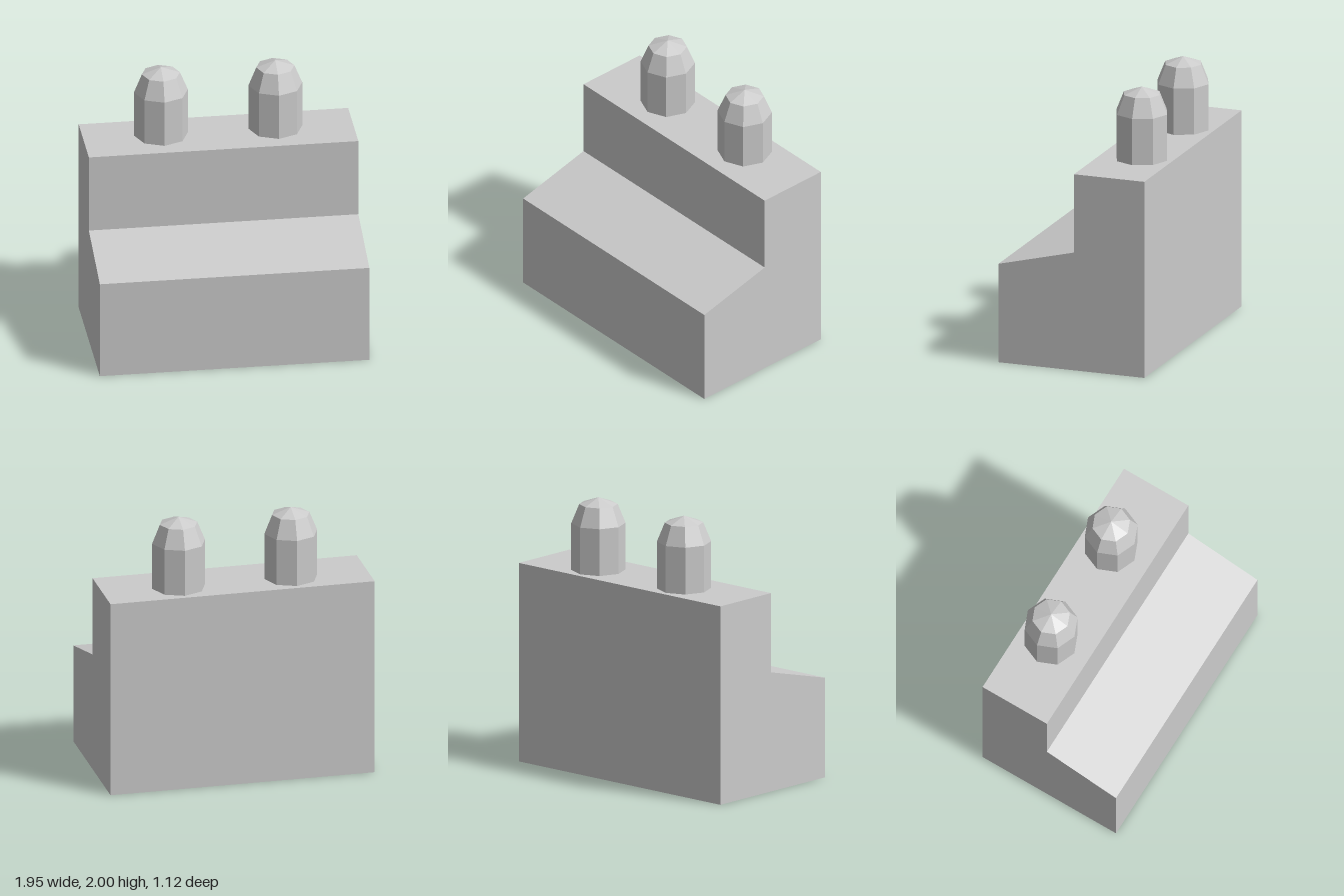
import * as THREE from 'three';

export function createModel() {
  const model = new THREE.Group();
  const material = new THREE.MeshStandardMaterial({ color: 0xcccccc, flatShading: true });

  // Stepped body: side profile (z, y) extruded across the width
  const width = 1.95;
  const profile = new THREE.Shape([
    [-0.56, 0], [0.56, 0], [0.56, 0.735], [-0.02, 0.88], [-0.02, 1.465], [-0.56, 1.465],
  ].map(([z, y]) => new THREE.Vector2(z, y)));
  const bodyGeometry = new THREE.ExtrudeGeometry(profile, { depth: width, bevelEnabled: false });
  bodyGeometry.translate(0, 0, -width / 2).rotateY(-Math.PI / 2);
  const body = new THREE.Mesh(bodyGeometry, material);
  body.name = 'steppedBody';
  model.add(body);

  // Two eight-sided posts with domed tops
  const postProfile = [[0.195, 0], [0.195, 0.345], [0.138, 0.485], [0, 0.535]]
    .map(([r, y]) => new THREE.Vector2(r, y));
  const postGeometry = new THREE.LatheGeometry(postProfile, 8);
  for (const [name, x] of [['rightPost', -0.412], ['leftPost', 0.416]]) {
    const post = new THREE.Mesh(postGeometry, material);
    post.name = name;
    post.position.set(x, 1.465, -0.327);
    model.add(post);
  }

  return model;
}
